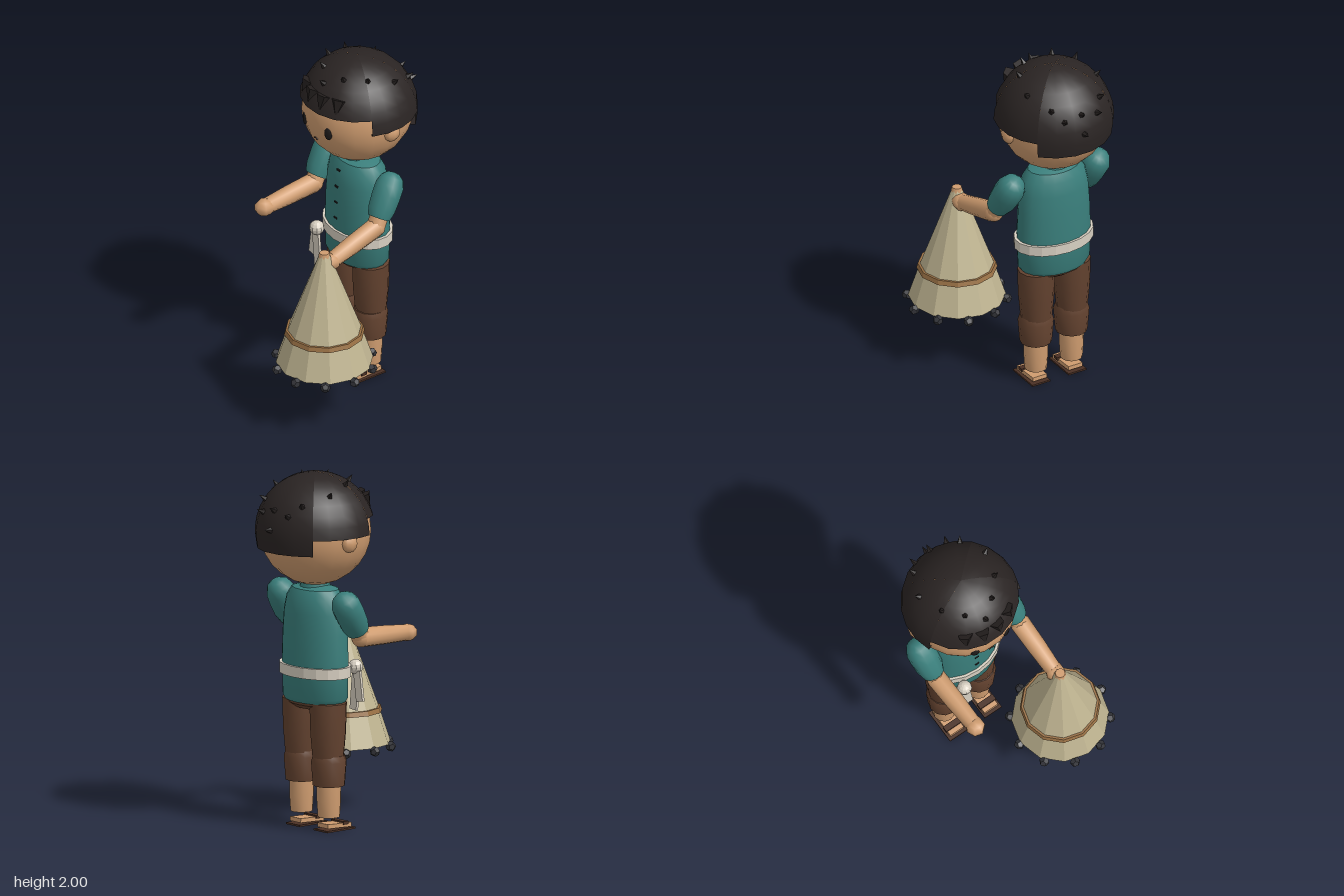
import * as THREE from 'three';
import { toCreasedNormals } from 'three/addons/utils/BufferGeometryUtils.js';

const mat = (color, flatShading = false, side = THREE.FrontSide) =>
  new THREE.MeshStandardMaterial({ color, flatShading, side });
const SKIN = mat(0xd09d70), TEAL = mat(0x3a7f7c), HAIR = mat(0x2a2423, false, THREE.DoubleSide);
const SPIKE = mat(0x241f1e, true), PANTS = mat(0x63422f), CLOTH = mat(0xd8d0c2, true);
const CONE = mat(0xbfb491, true, THREE.DoubleSide), BAND = mat(0x9a7145, true);
const BEAD = mat(0x34353a, true), SOLE = mat(0x4a3024), EYE = mat(0x1d1a1a);

const V = (x, y, z) => new THREE.Vector3(x, y, z);
const UP = V(0, 1, 0);
const CX = -0.135, CZ = -0.2; // axis of the figure

export function createModel() {
  const root = new THREE.Group();

  const add = (name, geo, material, x = 0, y = 0, z = 0) => {
    const mesh = new THREE.Mesh(geo, material);
    mesh.name = name;
    mesh.position.set(x, y, z);
    root.add(mesh);
    return mesh;
  };
  const lathe = (pts, segs = 16, start = 0, len = Math.PI * 2) =>
    toCreasedNormals(new THREE.LatheGeometry(pts.map(p => new THREE.Vector2(...p)), segs, start, len), 0.7);
  // Turned profile of unit axis, running from point a to point b
  const along = (name, pts, material, a, b, segs = 10) => {
    const mesh = add(name, lathe(pts, segs), material, a.x, a.y, a.z);
    mesh.quaternion.setFromUnitVectors(UP, b.clone().sub(a).normalize());
    return mesh;
  };
  const ball = (name, r, material, x, y, z, w = 10, h = 8) =>
    add(name, new THREE.SphereGeometry(r, w, h), material, x, y, z);

  // Head, ears and face
  ball('head', 0.312, SKIN, CX, 1.68, CZ, 18, 14);
  for (const s of [-1, 1]) {
    ball('ear', 0.052, SKIN, CX + s * 0.3, 1.64, CZ - 0.01, 8, 6).scale.x = 0.7;
    const eye = ball('eye', 0.026, EYE, CX + s * 0.105, 1.647, 0.083, 8, 6);
    eye.scale.set(1, 1.6, 0.5);
    eye.rotation.y = s * 0.35;
    add('mouth', new THREE.BoxGeometry(0.018, 0.007, 0.012), SOLE, CX + s * 0.007, 1.57, 0.086).rotation.z = -s * 0.6;
  }

  // Hair cap: sectors that reach down to different heights
  const HY = 1.665, HR = 0.335;
  const deg = Math.PI / 180;
  for (const [name, from, to, bottom, segs] of [
    ['frontHair', -67, 67, 1.76, 7], ['leftHair', 67, 133, 1.67, 4],
    ['backHair', 133, 227, 1.58, 5], ['rightHair', 227, 293, 1.67, 4]]) {
    const end = Math.acos((bottom - HY) / HR);
    const pts = [[HR * Math.sin(end) - 0.05, bottom]];
    for (let i = 0; i <= 8; i++) {
      const t = end * (1 - i / 8);
      pts.push([HR * Math.sin(t), HY + HR * Math.cos(t)]);
    }
    add(name, lathe(pts, segs, from * deg, (to - from) * deg), HAIR, CX, 0, CZ);
  }

  // Tufts standing out from the hair: side offset, z offset
  const tufts = [[0, 0.235], [0.09, 0.165], [0.178, 0.065], [0.222, -0.085], [0.155, -0.23],
    [0, -0.298], [0.105, -0.29], [0, -0.332]];
  for (const [dx, dz] of tufts) {
    for (const s of dx ? [-1, 1] : [1]) {
      const n = V(s * dx, Math.sqrt(HR * HR - dx * dx - dz * dz), dz).normalize();
      const p = n.clone().multiplyScalar(HR + 0.012);
      add('hairTuft', new THREE.ConeGeometry(0.022, 0.055, 5), SPIKE, CX + p.x, HY + p.y, CZ + p.z)
        .quaternion.setFromUnitVectors(UP, n);
    }
  }
  // Fringe: cones pointing down over the forehead
  for (const dx of [-0.145, -0.05, 0.05, 0.145]) {
    const z = Math.sqrt(0.315 ** 2 - 0.15 ** 2 - dx * dx);
    add('fringeTuft', new THREE.ConeGeometry(0.045, 0.1, 5), SPIKE, CX + dx, 1.815, CZ + z + 0.015)
      .quaternion.setFromUnitVectors(UP, V(dx, -0.8, 0.35).normalize());
  }

  // Neck, collar and shirt
  add('neck', new THREE.CylinderGeometry(0.075, 0.08, 0.1, 12), SKIN, CX, 1.37, CZ);
  add('collar', new THREE.CylinderGeometry(0.08, 0.09, 0.05, 14), TEAL, CX, 1.365, CZ);
  add('shirt', lathe([[0, 0.72], [0.2, 0.72], [0.217, 0.745], [0.222, 0.95], [0.217, 1.1],
    [0.208, 1.22], [0.19, 1.3], [0.155, 1.35], [0.08, 1.37], [0, 1.37]], 18), TEAL, CX, 0, CZ).scale.z = 0.69;
  for (let i = 0; i < 4; i++) {
    add('button', new THREE.BoxGeometry(0.024, 0.01, 0.012), EYE, CX, 1.0 + i * 0.1, -0.05 - (i === 3 ? 0.02 : i * 0.003));
  }

  // Belt with a knot and two hanging tails
  add('belt', lathe([[0.2, 0.865], [0.238, 0.865], [0.238, 0.925], [0.2, 0.925], [0.2, 0.865]], 18), CLOTH, CX, 0, CZ).scale.z = 0.7;
  ball('beltKnot', 0.042, CLOTH, -0.25, 0.895, -0.005, 10, 8);
  add('beltTail', new THREE.BoxGeometry(0.055, 0.17, 0.015), CLOTH, -0.285, 0.79, -0.012).rotation.z = -0.15;
  add('beltTail', new THREE.BoxGeometry(0.055, 0.23, 0.015), CLOTH, -0.24, 0.765, 0).rotation.z = 0.1;

  // Hips and legs
  add('hips', lathe([[0, 0.67], [0.14, 0.68], [0.19, 0.705], [0.205, 0.74], [0, 0.76]], 16), PANTS, CX, 0, CZ).scale.z = 0.66;
  for (const s of [-1, 1]) {
    const x = CX + s * 0.115;
    add('trouserLeg', lathe([[0.085, 0.38], [0.1, 0.55], [0.105, 0.72], [0, 0.74]], 12), PANTS, x, 0, CZ - 0.005);
    add('trouserCuff', lathe([[0, 0.255], [0.09, 0.255], [0.1, 0.39], [0.09, 0.425], [0, 0.44]], 12), PANTS, x, 0, CZ);
    add('shin', lathe([[0, 0.078], [0.062, 0.078], [0.068, 0.17], [0.07, 0.3]], 12), SKIN, x, 0, CZ);
    add('sandalSole', new THREE.BoxGeometry(0.115, 0.01, 0.205), SOLE, x + s * 0.002, 0.005, -0.16);
    add('foot', new THREE.BoxGeometry(0.09, 0.024, 0.17), SKIN, x, 0.028, -0.16).rotation.x = 0.04;
    add('sandalStrap', new THREE.BoxGeometry(0.105, 0.018, 0.035), SOLE, x, 0.039, -0.12);
  }

  // Arms: shoulder, elbow, hand
  const arms = [
    ['right', V(-0.405, 1.29, -0.21), V(-0.385, 1.09, -0.085), V(-0.37, 1.07, 0.265)],
    ['left', V(0.145, 1.29, -0.21), V(0.18, 1.08, -0.085), V(0.192, 0.985, 0.235)]];
  for (const [side, shoulder, elbow, hand] of arms) {
    along(side + 'Sleeve', [[0, 0.19], [0.065, 0.19], [0.078, 0.14], [0.083, 0.06], [0.082, 0], [0.065, -0.045],
      [0.035, -0.07], [0, -0.075]].map(([r, y]) => [r, y]).reverse(), TEAL, shoulder, elbow, 12);
    along(side + 'UpperArm', [[0.05, 0.1], [0.052, 0.23]], SKIN, shoulder, elbow);
    ball(side + 'Elbow', 0.055, SKIN, elbow.x, elbow.y, elbow.z);
    const len = elbow.distanceTo(hand);
    along(side + 'Forearm', [[0.056, 0], [0.053, len * 0.5], [0.046, len - 0.02], [0, len]], SKIN, elbow, hand);
    const h = ball(side + 'Hand', 0.056, SKIN, hand.x, hand.y, hand.z, 7, 5);
    h.scale.set(1, 0.88, 1.1);
  }

  // Cone-shaped net, open below, with a band and weights round the rim
  const NX = 0.195, NZ = 0.28;
  add('net', new THREE.LatheGeometry([[0.27, 0.37], [0.208, 0.56], [0.028, 1.05]]
    .map(p => new THREE.Vector2(...p)), 12), CONE, NX, 0, NZ);
  add('netBand', new THREE.LatheGeometry([[0.2, 0.545], [0.224, 0.545], [0.216, 0.572], [0.19, 0.572]]
    .map(p => new THREE.Vector2(...p)), 12), BAND, NX, 0, NZ);
  add('netTop', new THREE.CylinderGeometry(0.028, 0.034, 0.025, 8), SKIN, NX, 1.048, NZ);
  for (let i = 0; i < 10; i++) {
    const a = i * Math.PI / 5;
    add('netWeight', new THREE.DodecahedronGeometry(0.029), BEAD,
      NX + 0.276 * Math.cos(a), 0.355, NZ + 0.276 * Math.sin(a)).rotation.y = -a;
  }
  return root;
}
